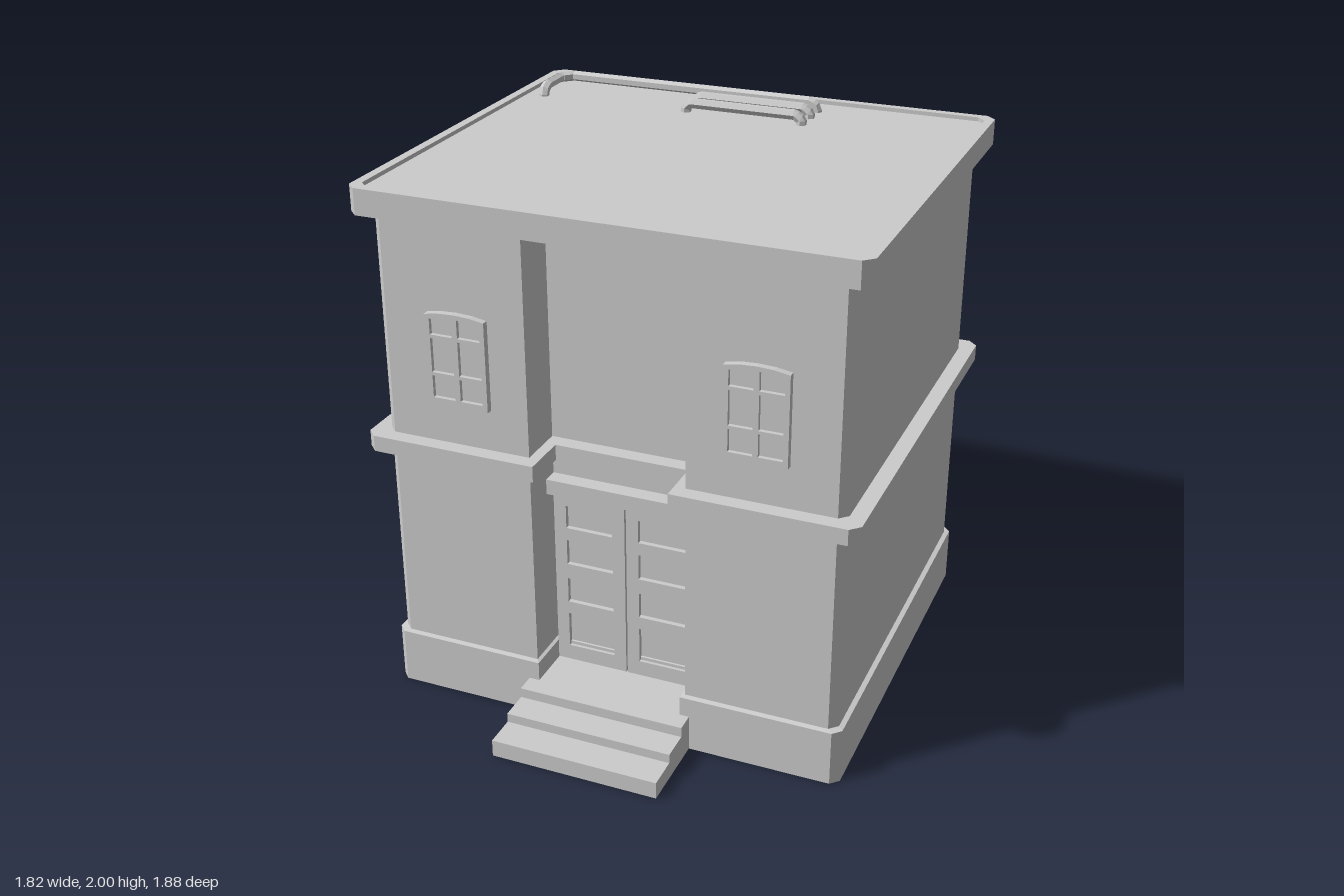
import * as THREE from 'three';

const mat = new THREE.MeshStandardMaterial({ color: 0xcccccc, flatShading: true, side: THREE.DoubleSide });

function add(parent, name, geometry, x = 0, y = 0, z = 0) {
  const mesh = new THREE.Mesh(geometry, mat);
  mesh.name = name;
  mesh.position.set(x, y, z);
  parent.add(mesh);
  return mesh;
}

// Box given by its limits
function block(parent, name, x0, x1, y0, y1, z0, z1) {
  return add(parent, name, new THREE.BoxGeometry(x1 - x0, y1 - y0, z1 - z0),
    (x0 + x1) / 2, (y0 + y1) / 2, (z0 + z1) / 2);
}

// Building footprint with chamfered corners and an entrance recess, grown by d
function outline(d, recess = 0.18, c = 0.03) {
  const w = 0.85 + d, f = 0.62 + d, b = -0.88 - d, r = 0.29 - d * 0.7, k = f - recess;
  return [[-w + c, f], [-r, f], [-r, k], [r, k], [r, f], [w - c, f], [w, f - c],
    [w, b + c], [w - c, b], [-w + c, b], [-w, b + c], [-w, f - c]];
}

// Open shell through footprints stacked at given heights: [height, footprint]
function loft(rings) {
  const pos = [];
  for (let i = 0; i < rings.length - 1; i++) {
    const [y0, lo] = rings[i], [y1, hi] = rings[i + 1];
    lo.forEach((p, j) => {
      const n = (j + 1) % lo.length, q = lo[n], s = hi[j], t = hi[n];
      pos.push(p[0], y0, p[1], q[0], y0, q[1], t[0], y1, t[1]);
      pos.push(p[0], y0, p[1], t[0], y1, t[1], s[0], y1, s[1]);
    });
  }
  const g = new THREE.BufferGeometry();
  g.setAttribute('position', new THREE.Float32BufferAttribute(pos, 3));
  g.computeVertexNormals();
  return g;
}

const polygon = pts => new THREE.Shape(pts.map(p => new THREE.Vector2(p[0], p[1])));

// Rectangle whose top edge slopes from height a to height b
const pane = (x0, x1, y0, a, b = a) => polygon([[x0, y0], [x1, y0], [x1, b], [x0, a]]);

function framed(shape, holes, depth) {
  shape.holes.push(...holes);
  return new THREE.ExtrudeGeometry(shape, { depth, bevelEnabled: false });
}

// Six-pane window with a shallow arched head
function windowUnit(x) {
  const g = new THREE.Group();
  g.name = 'window';
  const frame = polygon([[-0.113, 0], [0.113, 0], [0.113, 0.333], [0.06, 0.342], [0, 0.345],
    [-0.06, 0.342], [-0.113, 0.333]]);
  const holes = [];
  for (const [y0, y1, rise] of [[0.025, 0.108, 0], [0.12, 0.247, 0], [0.26, 0.318, 0.01]]) {
    holes.push(pane(-0.095, -0.01, y0, y1, y1 + rise), pane(0.01, 0.095, y0, y1 + rise, y1));
  }
  add(g, 'windowFrame', framed(frame, holes, 0.025));
  block(g, 'windowGlass', -0.1, 0.1, 0.015, 0.33, -0.01, 0.01);
  g.position.set(x, 1.2, 0.62);
  return g;
}

// Door leaf with four sunken panels
function doorLeaf(side) {
  const g = new THREE.Group();
  g.name = side > 0 ? 'leftDoorLeaf' : 'rightDoorLeaf';
  const holes = [];
  for (const [y0, y1] of [[0.06, 0.2], [0.25, 0.35], [0.41, 0.51], [0.56, 0.65]]) {
    holes.push(pane(0.05, 0.23, y0, y1));
  }
  add(g, 'doorStilesAndRails', framed(pane(0.003, 0.278, 0, 0.69), holes, 0.018), 0, 0, 0.022);
  block(g, 'doorPanels', 0.003, 0.278, 0, 0.69, 0, 0.022);
  g.position.set(side > 0 ? 0 : -0.281, 0.14, 0.43);
  return g;
}

// Hexagonal roof pipe with both ends turned down into the roof
function pipe(parent, points) {
  const path = new THREE.CurvePath();
  const v = points.map(p => new THREE.Vector3(...p));
  for (let i = 0; i < v.length - 1; i++) path.add(new THREE.LineCurve3(v[i], v[i + 1]));
  add(parent, 'roofPipe', new THREE.TubeGeometry(path, 80, 0.02, 6));
}

export function createModel() {
  const model = new THREE.Group();
  model.name = 'building';

  // Plinth, walls, string course and cornice
  const wall = outline(0), plinth = outline(0.018), band = outline(0.058, 0.18, 0.035);
  add(model, 'plinth', loft([[0, plinth], [0.212, plinth], [0.216, wall]]));
  add(model, 'lowerWalls', loft([[0.216, wall], [0.985, wall]]));
  add(model, 'stringCourse', loft([[0.985, wall], [0.985, band], [1.045, band], [1.045, wall]]));
  add(model, 'upperWalls', loft([[1.045, wall], [1.865, wall]]));
  const eave = outline(0.058, 0, 0.035), rim = outline(0.025, 0, 0.03);
  add(model, 'cornice', loft([[1.865, wall], [1.865, eave], [1.96, eave], [1.96, rim], [1.945, rim]]));

  // Roof deck inside the parapet
  const deckPoints = rim.filter((p, i) => i < 1 || i > 4).map(p => [p[0], -p[1]]);
  const deck = new THREE.ShapeGeometry(polygon(deckPoints));
  deck.rotateX(-Math.PI / 2);
  add(model, 'roofDeck', deck, 0, 1.945, 0);

  // Windows and double door with header
  model.add(windowUnit(0.54), windowUnit(-0.542), doorLeaf(1), doorLeaf(-1));
  block(model, 'doorHeader', -0.29, 0.29, 0.842, 0.9, 0.42, 0.5);
  block(model, 'doorHeadTrim', -0.29, 0.29, 0.83, 0.842, 0.42, 0.48);

  // Entrance steps
  for (const [top, front, back] of [[0.065, 0.94, 0.82], [0.1, 0.82, 0.71], [0.138, 0.71, 0.43]]) {
    block(model, 'step', -0.317, 0.313, 0, top, back, front);
  }

  // Roof pipes
  const low = 1.935, mid = 1.962, top = 1.98;
  for (const z of [-0.615, -0.71]) {
    pipe(model, [[-0.21, low, z], [-0.21, mid, z], [-0.19, top, z],
      [0.225, top, z], [0.25, mid, z], [0.25, low, z]]);
  }
  pipe(model, [[-0.805, low, -0.61], [-0.805, mid, -0.61], [-0.805, top, -0.635], [-0.805, top, -0.76],
    [-0.765, top, -0.8], [0.225, top, -0.8], [0.25, mid, -0.8], [0.25, low, -0.8]]);

  return model;
}
